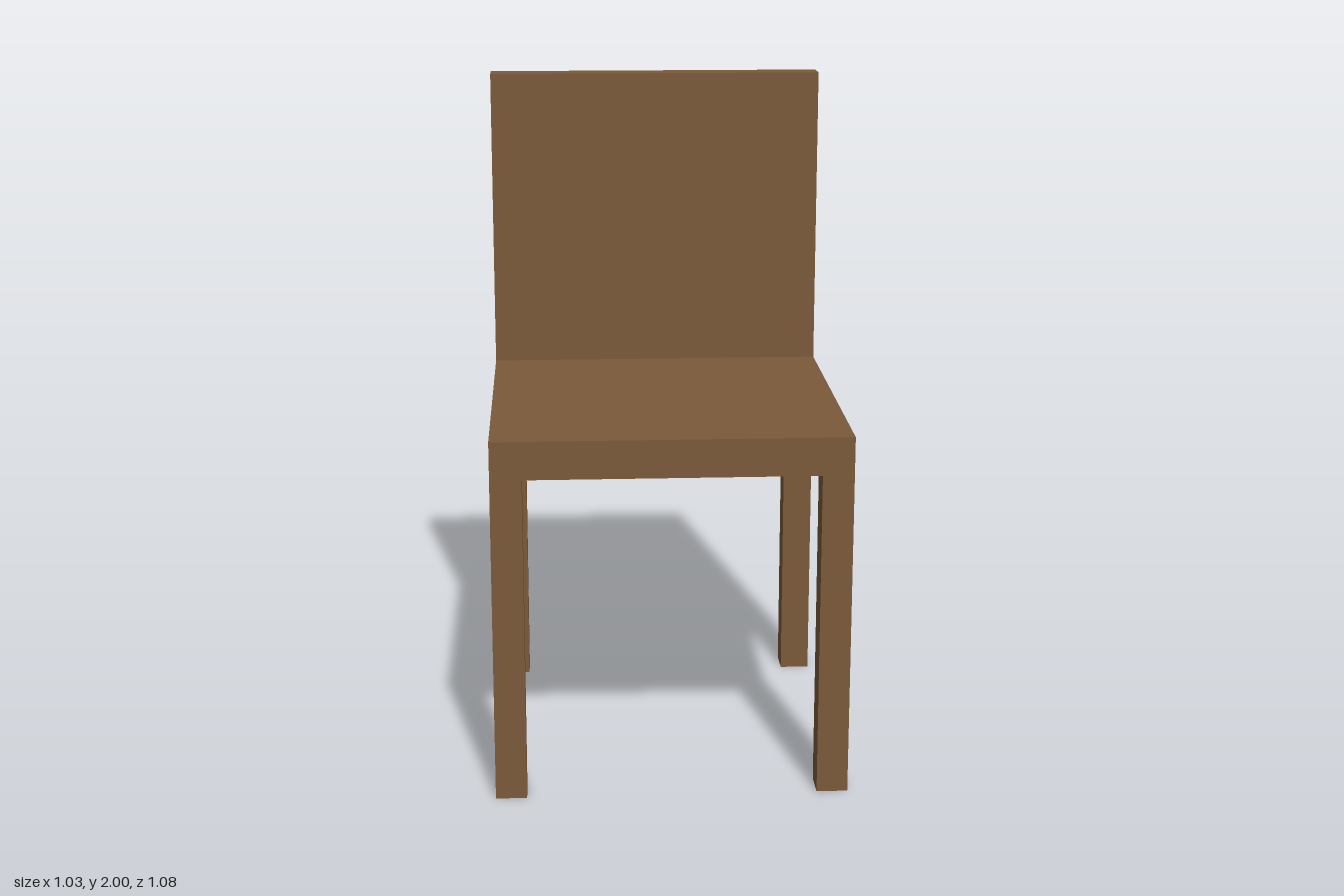
import * as THREE from 'three';

const W = 1.032, D = 1.076;            // overall width and depth
const SEAT_BOTTOM = 0.968, SEAT_TOP = 1.08, HEIGHT = 2;
const T = 0.091;                       // leg and backrest thickness

export function createModel() {
  const wood = new THREE.MeshStandardMaterial({ color: 0x7b5a3a });
  wood.name = 'brown wood';
  const chair = new THREE.Group();
  chair.name = 'chair';

  // Box standing on height y0 and reaching y1
  function addBox(name, w, d, y0, y1, x, z) {
    const mesh = new THREE.Mesh(new THREE.BoxGeometry(w, y1 - y0, d), wood);
    mesh.name = name;
    mesh.position.set(x, (y0 + y1) / 2, z);
    chair.add(mesh);
  }

  addBox('seat', W, D, SEAT_BOTTOM, SEAT_TOP, 0, 0);
  addBox('backrest', W, T, SEAT_TOP, HEIGHT, 0, -(D - T) / 2);

  // Four square legs flush with the seat corners
  for (const [side, sx] of [['Left', 1], ['Right', -1]]) {
    for (const [end, sz] of [['front', 1], ['back', -1]]) {
      addBox(`${end}${side}Leg`, T, T, 0, SEAT_BOTTOM, sx * (W - T) / 2, sz * (D - T) / 2);
    }
  }
  return chair;
}
